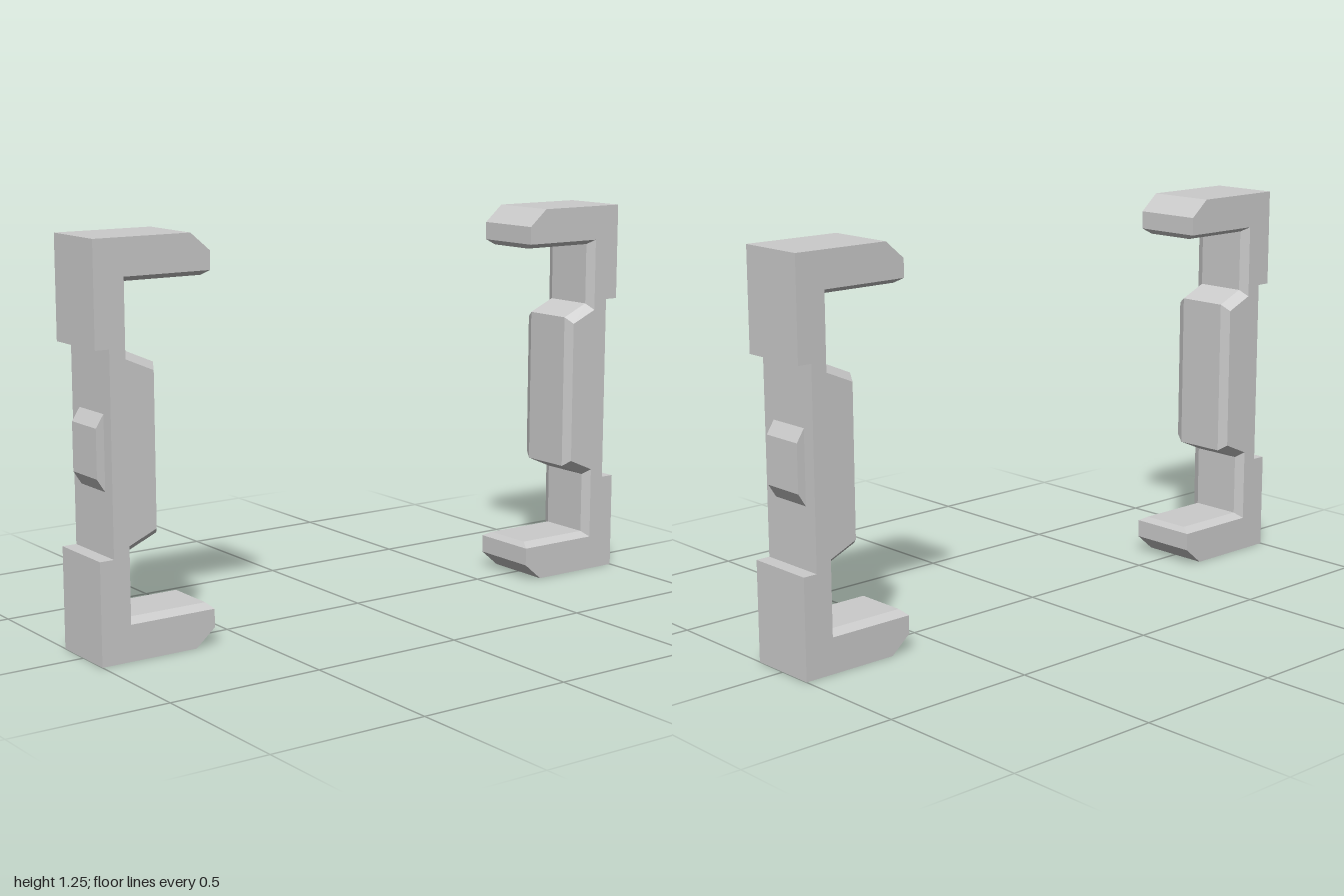
import * as THREE from 'three';

const HEIGHT = 1.25;
const material = new THREE.MeshStandardMaterial({ color: 0xcccccc, flatShading: true });

// Completes an upper half outline with its mirror image about mid height
const mirrorOutline = (half) => [
  ...half,
  ...half.map(([x, y]) => [x, HEIGHT - y]).reverse(),
].map(([x, y]) => new THREE.Vector2(x, y));

// Joins matching counter-clockwise outlines, stacked along z, into a closed solid
function loft(layers) {
  const pos = [];
  const put = (layer, i) => {
    const p = layer.outline[i % layer.outline.length];
    pos.push(p.x, p.y, layer.z);
  };
  const count = layers[0].outline.length;
  for (let k = 0; k + 1 < layers.length; k++) {
    const lo = layers[k], hi = layers[k + 1];
    for (let i = 0; i < count; i++) {
      put(lo, i); put(lo, i + 1); put(hi, i + 1);
      put(lo, i); put(hi, i + 1); put(hi, i);
    }
  }
  const first = layers[0], last = layers[layers.length - 1];
  for (const [a, b, c] of THREE.ShapeUtils.triangulateShape(last.outline, [])) {
    put(last, a); put(last, b); put(last, c);
    put(first, a); put(first, c); put(first, b);
  }
  const geometry = new THREE.BufferGeometry();
  geometry.setAttribute('position', new THREE.Float32BufferAttribute(pos, 3));
  geometry.computeVertexNormals();
  return geometry;
}

function bracketGeometry() {
  // Recessed outer side, top and chamfered arm tip
  const outer = [[0.954, 0.933], [1, 0.933], [1, 1.25], [0.68, 1.25], [0.615, 1.195]];
  // Inner edge on the end faces, and the raised inner edge between the bevels
  const innerEnd = [[0.615, 1.137], [0.615, 1.137], [0.902, 1.137], [0.902, 0.9], [0.81, 0.86]];
  const innerMid = [[0.615, 1.137], [0.63, 1.121], [0.887, 1.121], [0.887, 0.92], [0.795, 0.88]];
  const end = mirrorOutline([...outer, ...innerEnd]);
  const mid = mirrorOutline([...outer, ...innerMid]);
  return loft([
    { z: -0.115, outline: end },
    { z: -0.085, outline: mid },
    { z: 0.085, outline: mid },
    { z: 0.115, outline: end },
  ]);
}

// Small raised catch with sloped ends on the outer side
function catchGeometry() {
  const outline = [[0.95, 0.51], [0.954, 0.51], [0.98, 0.55], [0.98, 0.7], [0.954, 0.74], [0.95, 0.74]]
    .map(([x, y]) => new THREE.Vector2(x, y));
  return loft([{ z: -0.072, outline }, { z: 0.072, outline }]);
}

export function createModel() {
  const model = new THREE.Group();
  model.name = 'bracketPair';
  const body = bracketGeometry();
  const bump = catchGeometry();

  // The second bracket is the first turned half way round
  for (const [name, turn] of [['left', 0], ['right', Math.PI]]) {
    const side = new THREE.Group();
    side.name = name + 'Bracket';
    for (const [part, geometry] of [['Body', body], ['Catch', bump]]) {
      const mesh = new THREE.Mesh(geometry, material);
      mesh.name = name + part;
      side.add(mesh);
    }
    side.rotation.y = turn;
    model.add(side);
  }
  return model;
}
